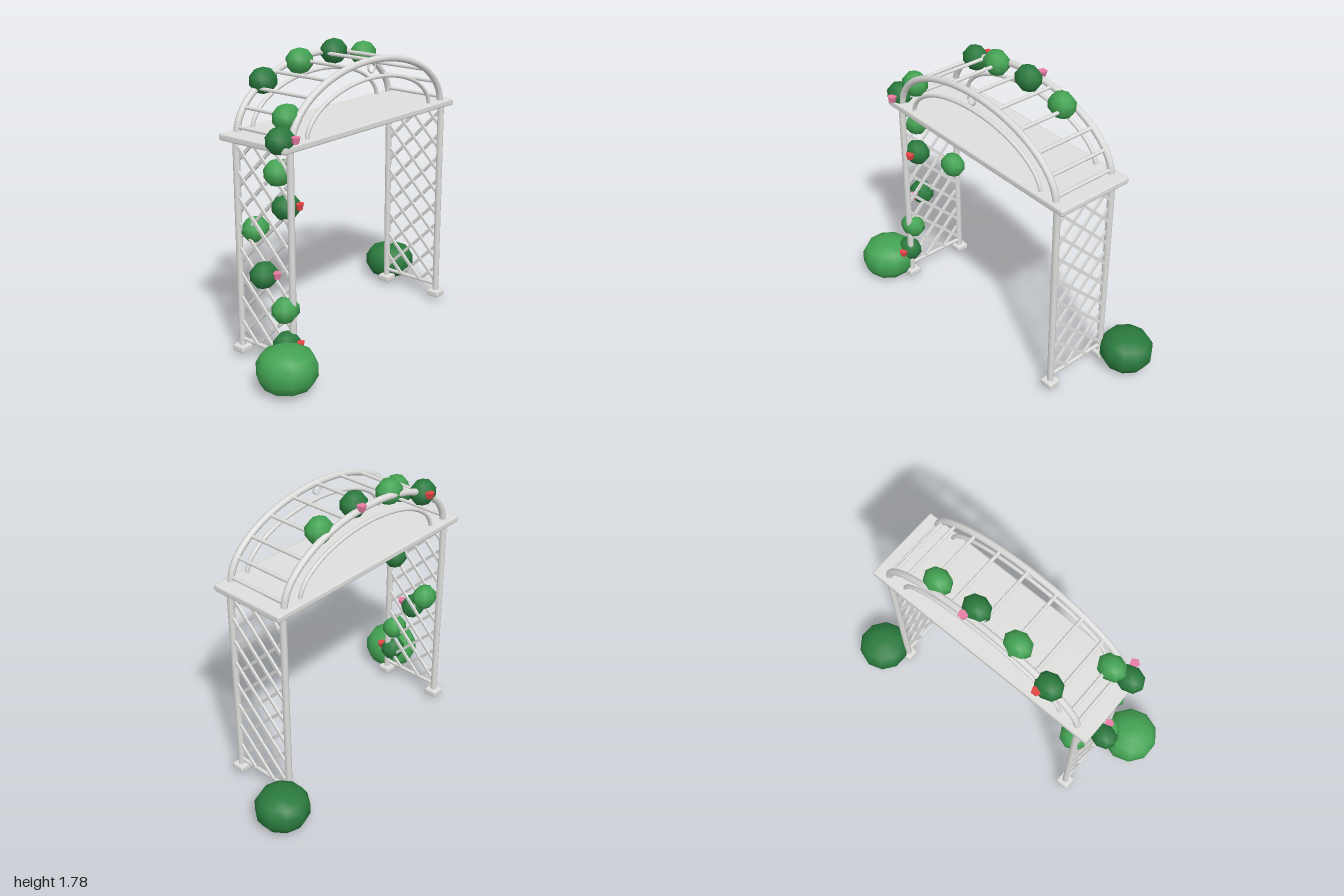
import * as THREE from 'three';
import { RoundedBoxGeometry } from 'three/addons/geometries/RoundedBoxGeometry.js';

const mat = (name, color, flatShading = false) => {
  const m = new THREE.MeshStandardMaterial({ color, flatShading });
  m.name = name;
  return m;
};

export function createModel() {
  const grey = mat('painted metal', 0xdededc);
  const light = mat('light leaves', 0x43a353);
  const dark = mat('dark leaves', 0x2a7a3e);
  const pink = mat('pink petals', 0xee7fa8, true);
  const red = mat('red petals', 0xe54545, true);

  const model = new THREE.Group();
  model.name = 'gardenArch';
  const frame = new THREE.Group();
  frame.name = 'frame';
  frame.position.set(0.006, 0, -0.008);
  model.add(frame);

  const add = (parent, name, geo, material, x = 0, y = 0, z = 0) => {
    const m = new THREE.Mesh(geo, material);
    m.name = name;
    m.position.set(x, y, z);
    parent.add(m);
    return m;
  };

  // Straight bar between two points, round or flat
  const bar = (name, a, b, r, flat = false) => {
    const d = b.clone().sub(a), len = d.length();
    const geo = flat ? new THREE.BoxGeometry(r * 1.4, len, r * 2) : new THREE.CylinderGeometry(r, r, len, 8);
    const m = add(frame, name, geo, grey);
    m.position.copy(a).addScaledVector(d, 0.5);
    m.quaternion.setFromUnitVectors(new THREE.Vector3(0, 1, 0), d.normalize());
  };
  const V = (x, y, z) => new THREE.Vector3(x, y, z);

  const X = 0.69, Z = 0.203;

  // Posts with square feet
  for (const x of [-X, X]) for (const z of [-Z, Z]) {
    bar('post', V(x, 0.05, z), V(x, 1.33, z), 0.02);
    add(frame, 'foot', new RoundedBoxGeometry(0.085, 0.04, 0.085, 1, 0.01), grey, x, 0.052, z);
  }

  // Flat slab across the posts
  add(frame, 'slab', new RoundedBoxGeometry(1.544, 0.042, 0.497, 1, 0.012), grey, -0.003, 1.332, -0.003);

  // Side trellises: end bars and crossed slats clipped to the panel
  const y0 = 0.11, y1 = 1.3, zw = 0.19, step = 0.15;
  for (const x of [-X, X]) {
    for (const y of [y0, y1]) bar('trellisRail', V(x, y, -Z), V(x, y, Z), 0.012);
    for (const s of [-1, 1]) {
      for (let c = y0 - step / 2; c < y1 + 0.2; c += step) {
        const lo = Math.max(c - zw, y0), hi = Math.min(c + zw, y1);
        if (hi - lo < 0.04) continue;
        bar('trellisSlat', V(x + s * 0.005, lo, s * (lo - c)), V(x + s * 0.005, hi, s * (hi - c)), 0.009, true);
      }
    }
  }

  // Outer and inner half-ellipse arches on both faces, rising from the slab
  const BASE = 1.332, RX = 0.68, RY = 0.365;
  const onArch = (a, rx, ry, z) => V(rx * Math.cos(a), BASE + ry * Math.sin(a), z);
  const arch = (name, rx, ry, r, z) => {
    const pts = [];
    for (let i = 0; i <= 24; i++) pts.push(onArch(Math.PI * i / 24, rx, ry, z));
    add(frame, name, new THREE.TubeGeometry(new THREE.CatmullRomCurve3(pts), 40, r, 8), grey);
  };
  for (const z of [-Z, Z]) {
    arch('outerArch', RX, RY, 0.02, z);
    arch('innerArch', 0.56, 0.264, 0.012, z);
  }

  // Rungs joining the outer arches
  const a0 = 0.12;
  for (let i = 0; i <= 10; i++) {
    const a = a0 + (Math.PI - 2 * a0) * i / 10;
    bar('rung', onArch(a, RX, RY, -Z), onArch(a, RX, RY, Z), 0.011);
  }

  // Small hanging ring at the top
  add(frame, 'hangingRing', new THREE.TorusGeometry(0.03, 0.006, 6, 16), grey, -0.008, 1.658, Z);

  // Bushes: rounded bodies with flattened crowns
  const profile = [[0, -1], [0.42, -0.98], [0.82, -0.72], [1, -0.28], [1, 0.28], [0.82, 0.72], [0.42, 0.98], [0, 1]];
  const bushGeo = new THREE.LatheGeometry(profile.map(([r, y]) => new THREE.Vector2(r, y)), 10);
  const bush = (name, m, x, y, z, rx, ry) => add(model, name, bushGeo, m, x, y, z).scale.set(rx, ry, rx);
  bush('leftBush', light, -0.828, 0.132, 0.28, 0.172, 0.125);
  bush('rightBush', dark, 0.838, 0.118, -0.297, 0.161, 0.114);

  // Climbing leaf clusters, alternating dark and light
  const leafGeo = new THREE.SphereGeometry(1, 8, 5);
  const clusters = [
    [-0.72, 0.205, 0.18], [-0.7, 0.4, 0.155], [-0.745, 0.592, 0.04], [-0.628, 0.787, -0.135],
    [-0.648, 0.982, 0.125], [-0.68, 1.177, 0.1], [-0.733, 1.374, 0.17], [-0.631, 1.472, 0.125],
    [-0.463, 1.602, -0.208], [-0.214, 1.682, -0.161], [0.073, 1.702, -0.15], [0.348, 1.652, -0.15],
  ];
  clusters.forEach(([x, y, z], i) => {
    const m = add(model, 'leafCluster', leafGeo, i % 2 ? light : dark, x, y, z);
    m.scale.set(0.09, 0.077, 0.075);
  });

  // Flowers: small five-sided cups
  const petalGeo = new THREE.CylinderGeometry(0.03, 0.02, 0.036, 5);
  const flowers = [
    [-0.69, 0.215, 0.252, red], [-0.725, 0.603, 0.118, pink], [-0.622, 0.992, 0.198, red],
    [-0.7, 1.383, 0.25, pink], [-0.435, 1.615, -0.278, red], [0.1, 1.715, -0.228, pink],
  ];
  for (const [x, y, z, m] of flowers) add(model, 'flower', petalGeo, m, x, y, z);

  return model;
}
